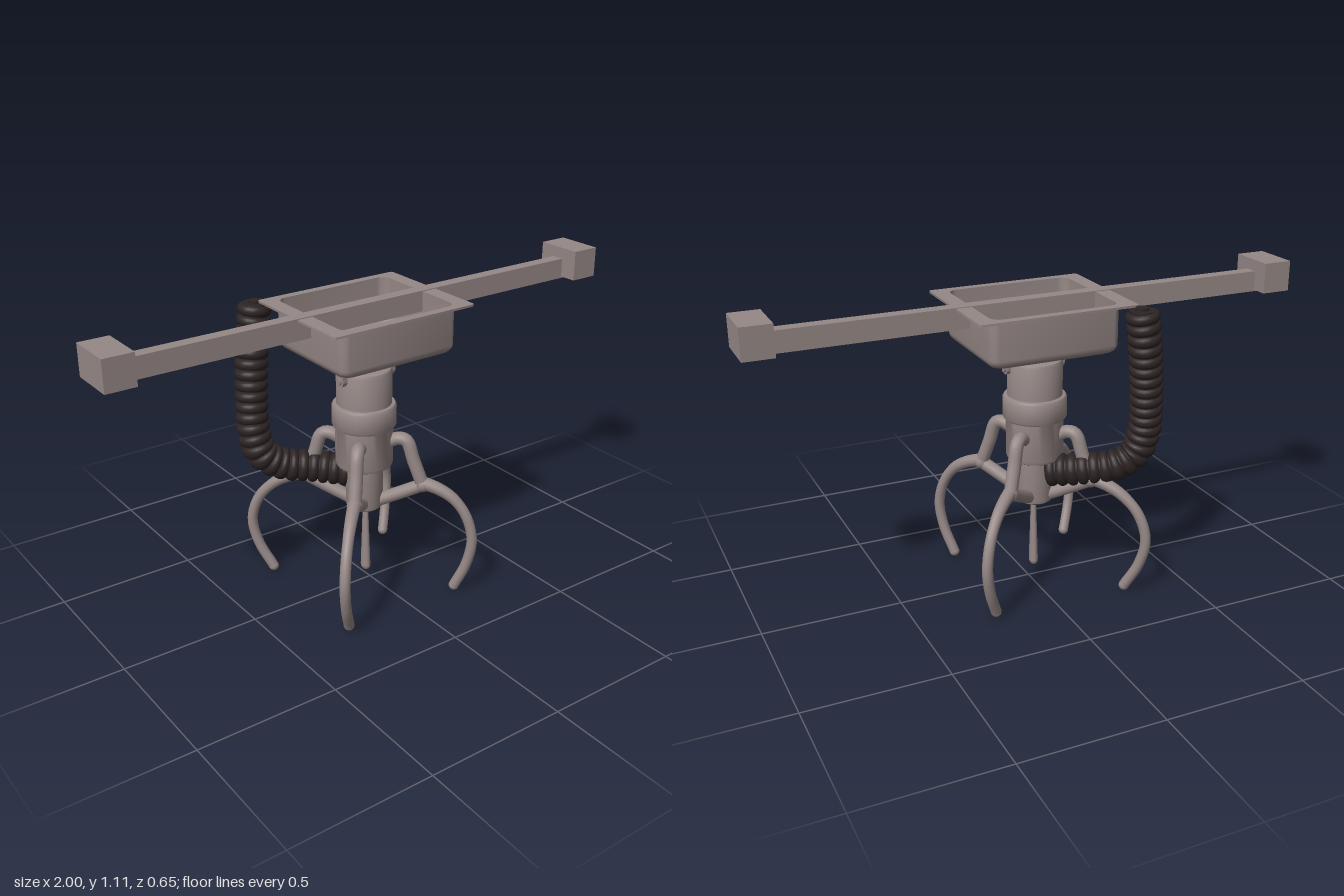
import * as THREE from 'three';
import { toCreasedNormals, mergeVertices } from 'three/addons/utils/BufferGeometryUtils.js';

const metal = new THREE.MeshStandardMaterial({ color: 0x958886 });
metal.name = 'warm grey metal';
const rubber = new THREE.MeshStandardMaterial({ color: 0x2e2424 });
rubber.name = 'dark rubber';

const AXIS_X = -0.025; // the claw hangs slightly off centre

function add(parent, name, geometry, material = metal, x = 0, y = 0, z = 0) {
  const mesh = new THREE.Mesh(geometry, material);
  mesh.name = name;
  mesh.position.set(x, y, z);
  parent.add(mesh);
  return mesh;
}

// Rounded rectangle loop in the xz plane
function rectLoop(hx, hz, r, y, steps = 6) {
  const pts = [];
  [[1, 1], [-1, 1], [-1, -1], [1, -1]].forEach(([sx, sz], q) => {
    for (let i = 0; i <= steps; i++) {
      const a = (q + i / steps) * Math.PI / 2;
      pts.push([sx * (hx - r) + r * Math.cos(a), y, sz * (hz - r) + r * Math.sin(a)]);
    }
  });
  return pts;
}

// Skin joining successive loops of equal length
function loft(loops) {
  const n = loops[0].length, index = [];
  for (let j = 0; j < loops.length - 1; j++) {
    for (let i = 0; i < n; i++) {
      const a = j * n + i, b = j * n + (i + 1) % n;
      index.push(a, b, a + n, b, b + n, a + n);
    }
  }
  const g = new THREE.BufferGeometry();
  g.setAttribute('position', new THREE.Float32BufferAttribute(loops.flat(2), 3));
  g.setIndex(index);
  return toCreasedNormals(g, 0.7);
}

// Pressed tray: floor, inner wall, flanged rim, outer wall, underside
function trayGeometry() {
  const hx = 0.235, hz = 0.207, loops = [];
  const ring = (inset, y, r) => loops.push(rectLoop(hx - inset, hz - inset, r, y));
  const fillet = (inset, base, radius, up) => {
    for (let i = 0; i <= 5; i++) {
      const a = (up ? i : 5 - i) / 5 * Math.PI / 2;
      ring(inset + radius * (1 - Math.sin(a)), base + radius * (1 - Math.cos(a)), 0.035);
    }
  };
  ring(0.2, 0.908, 0.003);
  fillet(0.006, 0.908, 0.028, true);
  ring(0.006, 1.072, 0.035);
  loops.push(rectLoop(0.285, 0.232, 0.01, 1.072));
  loops.push(rectLoop(0.285, 0.232, 0.01, 1.064));
  ring(0, 1.064, 0.035);
  fillet(0, 0.9, 0.032, false);
  ring(0.2, 0.9, 0.003);
  return loft(loops);
}

// Round bar along points, with its radius varying by a rule
function bar(points, radiusAt, segments, sides) {
  const curve = new THREE.CatmullRomCurve3(points, false, 'centripetal');
  const g = new THREE.TubeGeometry(curve, segments, 1, sides);
  const p = g.attributes.position, nrm = g.attributes.normal;
  for (let i = 0; i < p.count; i++) {
    const t = Math.floor(i / (sides + 1)) / segments;
    const c = curve.getPointAt(t), r = radiusAt(t);
    p.setXYZ(i, c.x + nrm.getX(i) * r, c.y + nrm.getY(i) * r, c.z + nrm.getZ(i) * r);
  }
  g.deleteAttribute('uv');
  g.deleteAttribute('normal');
  const welded = mergeVertices(g, 1e-5);
  welded.computeVertexNormals();
  return welded;
}

// One finger in its own xy plane, growing along +x
function makeFinger(reach) {
  const finger = new THREE.Group();
  const path = (list) => list.map(([r, y]) => new THREE.Vector3(r > 0.3 ? 0.3 + (r - 0.3) * reach : r, y, 0));
  const arm = path([[0.2, 0.43], [0.27, 0.41], [0.33, 0.378], [0.39, 0.315], [0.421, 0.22], [0.4, 0.12], [0.347, 0.023]]);
  add(finger, 'fingerHook', bar(arm, (t) => 0.025 - 0.006 * Math.min(1, t * 3), 40, 12));
  const tip = arm[arm.length - 1];
  add(finger, 'fingerTip', new THREE.SphereGeometry(0.0192, 14, 10), metal, tip.x, tip.y, 0);
  add(finger, 'upperStrut', bar(path([[0.07, 0.565], [0.125, 0.592], [0.153, 0.585], [0.18, 0.51], [0.215, 0.415]]), () => 0.024, 24, 12));
  add(finger, 'lowerStrut', bar(path([[0.215, 0.42], [0.13, 0.378], [0.04, 0.335]]), () => 0.024, 10, 12));
  add(finger, 'knuckle', new THREE.SphereGeometry(0.028, 14, 10), metal, 0.213, 0.42, 0);
  return finger;
}

export function createModel() {
  const model = new THREE.Group();
  model.name = 'hangingClaw';

  // Cross beam with end blocks
  add(model, 'crossBeam', new THREE.BoxGeometry(1.94, 0.075, 0.046), metal, 0, 1.0375, -0.02);
  for (const s of [-1, 1]) {
    add(model, 'beamEndBlock', new THREE.BoxGeometry(0.107, 0.11, 0.174), metal, s * 0.9465, 1.061, -0.018);
  }

  // Tray with floor bolts
  add(model, 'tray', trayGeometry(), metal, -0.005, 0, -0.018);
  add(model, 'trayHub', new THREE.CylinderGeometry(0.045, 0.045, 0.012, 24), metal, AXIS_X, 0.912, 0);
  for (const s of [-1, 1]) {
    add(model, 'trayBolt', new THREE.CylinderGeometry(0.016, 0.016, 0.012, 12), metal, AXIS_X + s * 0.1, 0.912, 0.012);
  }

  // Turned body of the claw: neck, motor, collar, lower housing, shaft
  const profile = [[0, 0.312], [0.056, 0.312], [0.064, 0.318], [0.067, 0.33], [0.067, 0.48], [0.09, 0.48],
    [0.099, 0.485], [0.103, 0.496], [0.103, 0.632], [0.109, 0.634], [0.114, 0.642], [0.114, 0.71], [0.109, 0.718],
    [0.098, 0.72], [0.098, 0.838], [0.094, 0.848], [0.084, 0.853], [0.058, 0.853], [0.058, 0.903]];
  const body = new THREE.LatheGeometry(profile.map(([r, y]) => new THREE.Vector2(r, y)), 36);
  add(model, 'clawBody', toCreasedNormals(body, 0.6), metal, AXIS_X, 0, 0);

  // Yoke lugs with pins on both sides of the motor
  const lug = new THREE.Shape();
  lug.moveTo(-0.023, 0.905);
  lug.lineTo(-0.023, 0.825);
  lug.absarc(0, 0.825, 0.023, Math.PI, Math.PI * 2, false);
  lug.lineTo(0.023, 0.905);
  const lugGeometry = new THREE.ExtrudeGeometry(lug, { depth: 0.024, bevelEnabled: false, curveSegments: 10 });
  lugGeometry.translate(0, 0, -0.012).rotateY(Math.PI / 2);
  const pinGeometry = new THREE.CylinderGeometry(0.012, 0.012, 0.036, 14).rotateZ(Math.PI / 2);
  for (const s of [-1, 1]) {
    add(model, 'yokeLug', lugGeometry, metal, AXIS_X + s * 0.098, 0, 0.01);
    add(model, 'yokePin', pinGeometry, metal, AXIS_X + s * 0.098, 0.822, 0.01);
  }

  // Four fingers: plan direction and reach of each
  const fingers = [[-0.297, 0.302, 1], [0.257, 0.302, 0.8], [0.302, -0.272, 0.88], [-0.297, -0.302, 1]];
  for (const [dx, dz, reach] of fingers) {
    const finger = makeFinger(reach);
    finger.name = 'finger';
    finger.position.x = AXIS_X;
    finger.rotation.y = Math.atan2(-dz, dx);
    model.add(finger);
  }

  // Central prong, swelling toward its rounded end
  const prong = bar([0.34, 0.2, 0.065].map((y) => new THREE.Vector3(0, y, 0)), (t) => 0.011 + 0.011 * t, 16, 14);
  add(model, 'centreProng', prong, metal, AXIS_X + 0.003, 0, 0.003).scale.x = 0.72;
  add(model, 'prongTip', new THREE.SphereGeometry(0.022, 14, 10), metal, AXIS_X + 0.003, 0.065, 0.003).scale.x = 0.72;

  // Ribbed hose from the tray's back corner to the lower shaft
  const hosePath = [[-0.29, 1.055, -0.27], [-0.305, 0.95, -0.268], [-0.332, 0.75, -0.245], [-0.342, 0.6, -0.222],
    [-0.32, 0.52, -0.205], [-0.255, 0.475, -0.18], [-0.16, 0.458, -0.13], [-0.05, 0.44, -0.05]]
    .map((p) => new THREE.Vector3(...p));
  const ribs = 23;
  const hoseRadius = (t) => 0.045 + 0.014 * Math.sqrt(Math.abs(Math.sin(t * ribs * Math.PI)));
  add(model, 'hose', bar(hosePath, hoseRadius, ribs * 10, 20), rubber);
  add(model, 'hoseCap', new THREE.CylinderGeometry(0.045, 0.045, 0.012, 20), rubber, -0.29, 1.053, -0.27);
  add(model, 'hosePlug', new THREE.CylinderGeometry(0.022, 0.022, 0.016, 16), rubber, -0.29, 1.06, -0.27);

  return model;
}
